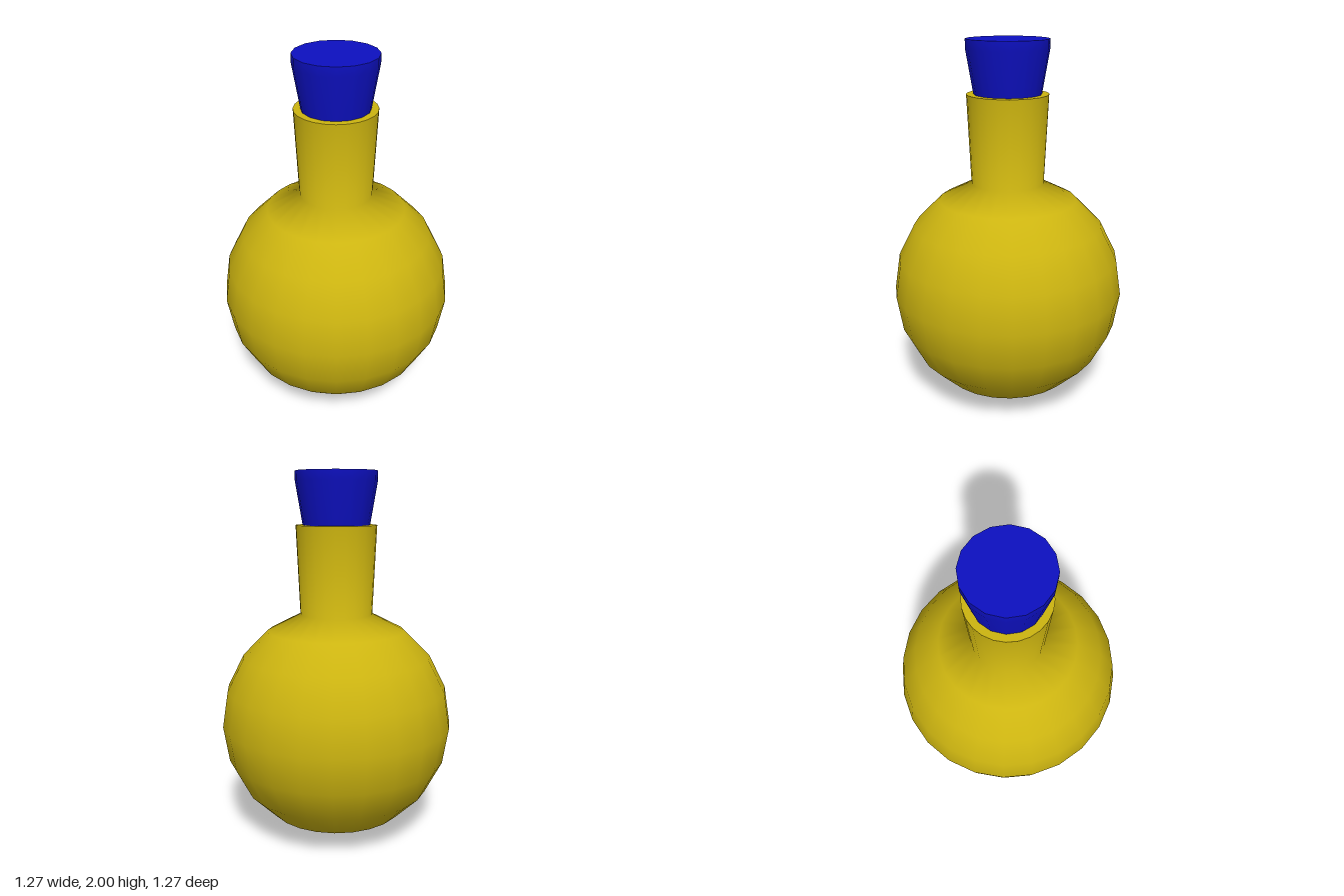
import * as THREE from 'three';

const lathe = (name, points, sides, material) => {
  const mesh = new THREE.Mesh(
    new THREE.LatheGeometry(points.map(([r, y]) => new THREE.Vector2(r, y)), sides), material);
  mesh.name = name;
  return mesh;
};

export function createModel() {
  const group = new THREE.Group();
  group.name = 'stopperedFlask';
  const glass = new THREE.MeshStandardMaterial({ color: 0xccb410, side: THREE.DoubleSide });
  const blue = new THREE.MeshStandardMaterial({ color: 0x0d10c0 });

  // Round body: rings every 18 degrees, open under the neck, then the flaring neck
  const R = 0.637;
  const profile = [];
  for (let i = 0; i <= 9; i++) {
    const a = (i * Math.PI) / 10;
    profile.push([R * Math.sin(a), R - R * Math.cos(a)]);
  }
  profile.push([0.218, 1.72]);
  group.add(lathe('bodyAndNeck', profile, 24, glass));

  // Flat lip around the mouth
  group.add(lathe('lip', [[0.218, 1.72], [0.17, 1.72]], 24, glass));

  // Tapered stopper with a short straight band, reaching into the neck
  group.add(lathe('stopper', [[0.172, 1.66], [0.18, 1.72], [0.219, 1.95], [0.219, 2]], 16, blue));
  group.add(lathe('stopperTop', [[0.219, 2], [0, 2]], 16, blue));
  group.add(lathe('stopperBottom', [[0, 1.66], [0.172, 1.66]], 16, blue));
  return group;
}
